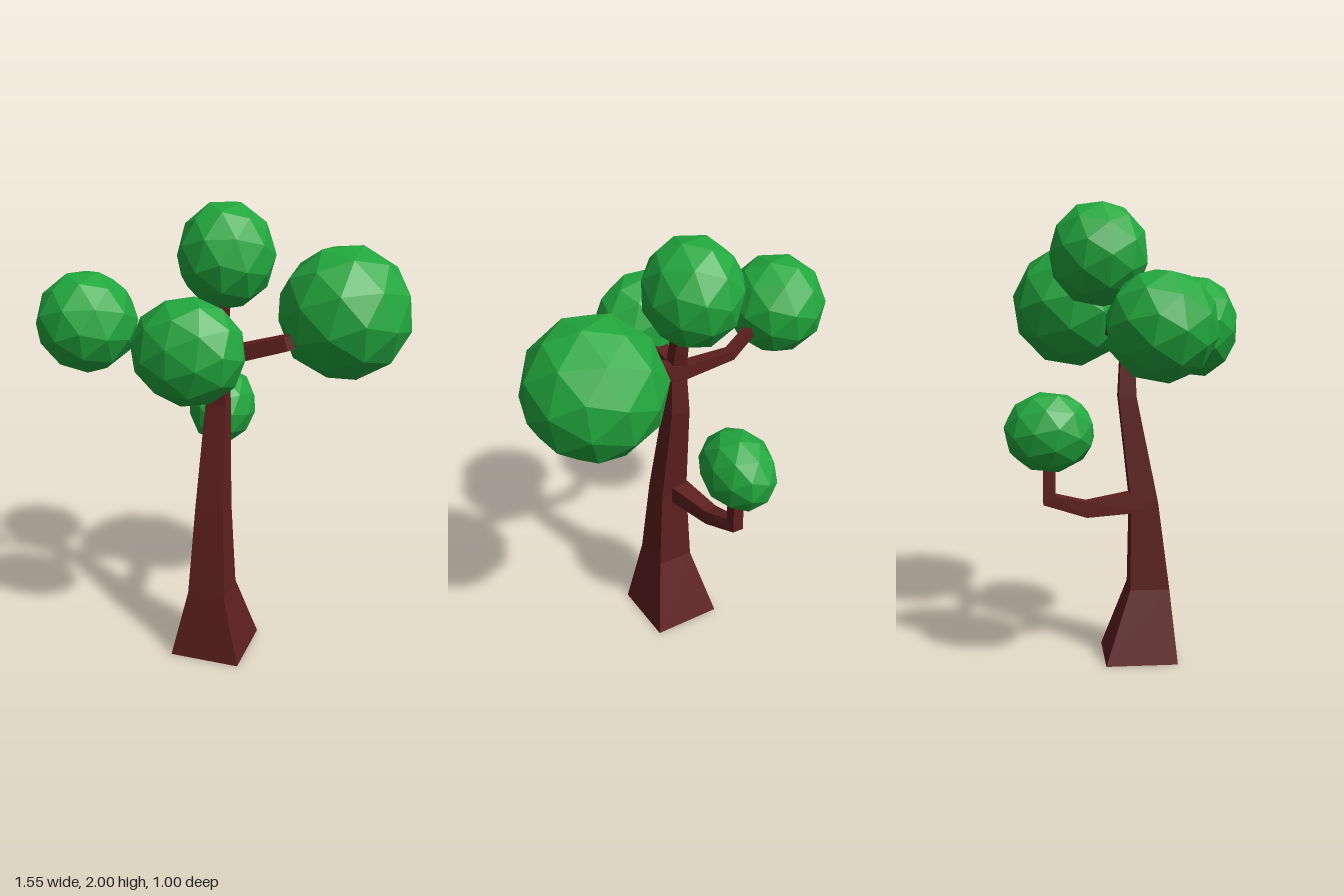
import * as THREE from 'three';

const bark = new THREE.MeshStandardMaterial({ color: 0x5e1f1f, flatShading: true });
const leaf = new THREE.MeshStandardMaterial({ color: 0x22a83e, flatShading: true });

// Skin a list of four-cornered rings, closing both ends
function loft(rings) {
  const pos = [];
  const quad = (a, b, c, d) => [a, b, c, a, c, d].forEach((p) => pos.push(p.x, p.y, p.z));
  for (let i = 0; i < rings.length - 1; i++) {
    const lo = rings[i], hi = rings[i + 1];
    for (let k = 0; k < 4; k++) {
      const n = (k + 1) % 4;
      quad(lo[k], lo[n], hi[n], hi[k]);
    }
  }
  const first = rings[0], last = rings[rings.length - 1];
  quad(first[3], first[2], first[1], first[0]);
  quad(last[0], last[1], last[2], last[3]);
  const geo = new THREE.BufferGeometry();
  geo.setAttribute('position', new THREE.Float32BufferAttribute(pos, 3));
  geo.computeVertexNormals();
  return geo;
}

// Square limb along a path, mitred at the bends
function limb(path, widths, sideAxis) {
  const pts = path.map((p) => new THREE.Vector3(...p));
  const dirs = pts.slice(1).map((p, i) => p.clone().sub(pts[i]).normalize());
  const rings = pts.map((p, i) => {
    const before = dirs[Math.max(i - 1, 0)];
    const after = dirs[Math.min(i, dirs.length - 1)];
    const t = before.clone().add(after).normalize();
    const side = new THREE.Vector3(...sideAxis);
    side.addScaledVector(t, -side.dot(t)).normalize();
    const up = t.clone().cross(side);
    const h = widths[i] / 2, stretch = h / t.dot(after);
    return [[-1, -1], [1, -1], [1, 1], [-1, 1]].map(([a, b]) =>
      p.clone().addScaledVector(side, a * h).addScaledVector(up, b * stretch));
  });
  return loft(rings);
}

// Faceted leaf ball filling the given box
function foliage(min, max, turn) {
  const geo = new THREE.IcosahedronGeometry(1, 1);
  geo.rotateX(0.5536).rotateY(turn).rotateZ(turn * 0.15);
  geo.computeBoundingBox();
  const size = geo.boundingBox.getSize(new THREE.Vector3());
  const mid = geo.boundingBox.getCenter(new THREE.Vector3());
  geo.translate(-mid.x, -mid.y, -mid.z);
  geo.scale(...['x', 'y', 'z'].map((k, i) => (max[i] - min[i]) / size[k]));
  geo.translate(...min.map((v, i) => (v + max[i]) / 2));
  geo.computeVertexNormals();
  return geo;
}

export function createModel() {
  const tree = new THREE.Group();
  tree.name = 'tree';
  const add = (name, geo, mat) => {
    const mesh = new THREE.Mesh(geo, mat);
    mesh.name = name;
    tree.add(mesh);
  };

  // Trunk levels: y, x range, z range
  const trunk = [
    [0, -0.157, 0.157, -0.07, 0.245],
    [0.32, -0.083, 0.083, 0.042, 0.215],
    [0.71, -0.064, 0.064, 0.048, 0.165],
    [1.17, -0.046, 0.043, -0.005, 0.072],
    [1.38, -0.036, 0.034, 0.005, 0.062],
    [1.7, -0.025, 0.025, -0.06, -0.01],
  ].map(([y, x0, x1, z0, z1]) => [
    new THREE.Vector3(x0, y, z1), new THREE.Vector3(x1, y, z1),
    new THREE.Vector3(x1, y, z0), new THREE.Vector3(x0, y, z0),
  ]);
  add('trunk', loft(trunk), bark);

  // Branches
  add('leftBranch', limb([[0, 1.37, 0.03], [0.28, 1.45, 0], [0.47, 1.5, -0.12]], [0.07, 0.06, 0.05], [0, 0, 1]), bark);
  add('rightBranch', limb([[0, 1.36, 0.03], [-0.25, 1.39, 0], [-0.52, 1.49, 0.1]], [0.065, 0.045, 0.04], [0, 0, 1]), bark);
  add('frontBranch', limb([[0, 1.38, 0.02], [0, 1.4, 0.18], [-0.03, 1.46, 0.3]], [0.07, 0.06, 0.05], [1, 0, 0]), bark);
  add('backBranch', limb([[-0.02, 0.71, 0.1], [-0.07, 0.688, -0.15], [-0.09, 0.737, -0.31], [-0.09, 0.95, -0.31]],
    [0.09, 0.065, 0.052, 0.05], [1, 0, 0]), bark);

  // Foliage
  add('topFoliage', foliage([-0.21, 1.56, -0.3], [0.2, 2, 0.125], 0.2), leaf);
  add('frontFoliage', foliage([-0.265, 1.26, 0.15], [0.205, 1.69, 0.5], 0.9), leaf);
  add('leftFoliage', foliage([0.205, 1.27, -0.46], [0.772, 1.83, 0.095], 0.5), leaf);
  add('rightFoliage', foliage([-0.775, 1.285, -0.1], [-0.355, 1.71, 0.325], 0.3), leaf);
  add('backFoliage', foliage([-0.24, 0.86, -0.5], [0.052, 1.2, -0.115], 0.7), leaf);

  return tree;
}
